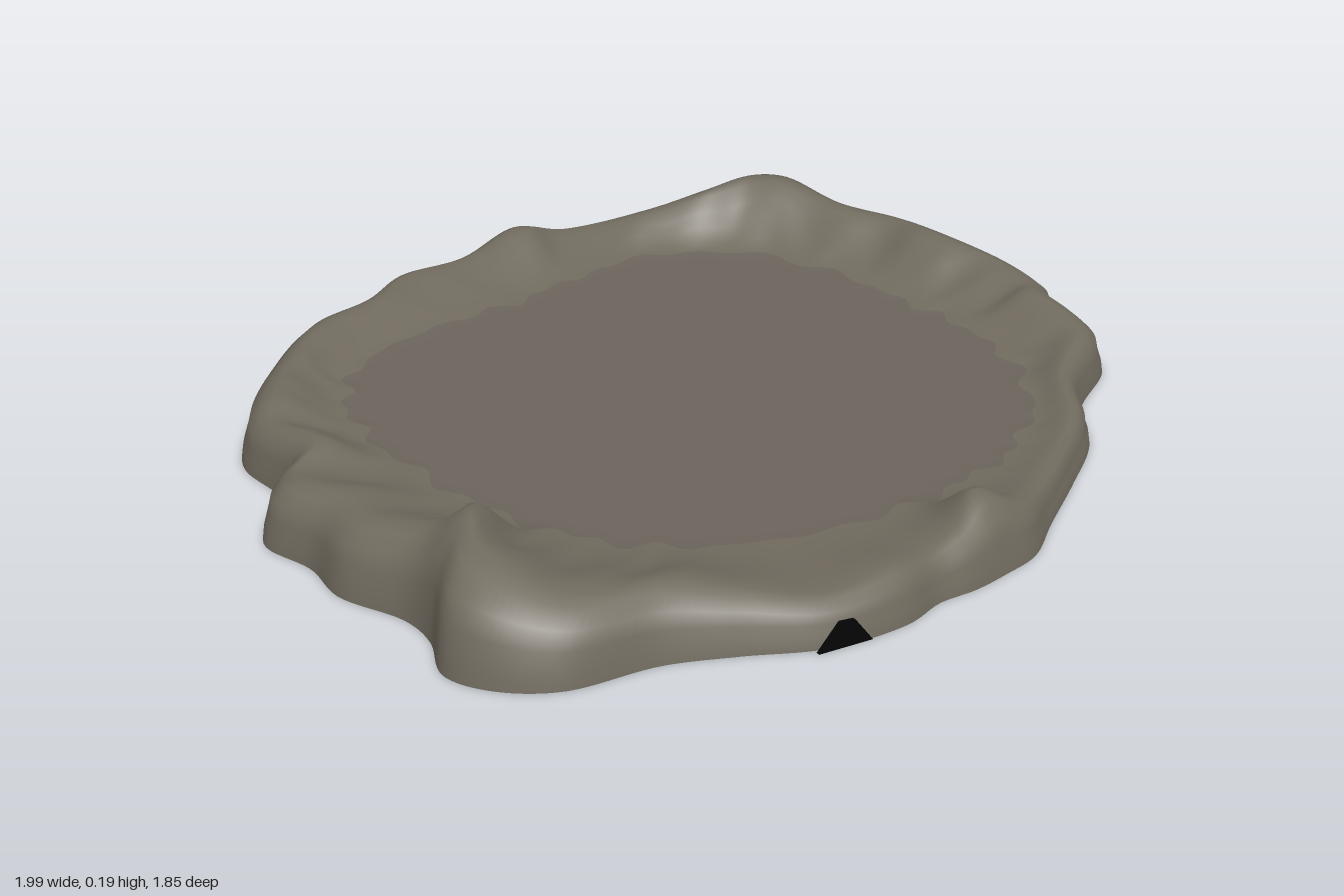
import * as THREE from 'three';

// Outline of the base, clockwise from above: x, z, crest height
const OUTLINE = [
  [0.99, -0.02, 0.12], [0.96, 0.12, 0.11], [0.91, 0.19, 0.12], [0.88, 0.3, 0.11], [0.83, 0.39, 0.1],
  [0.64, 0.5, 0.085], [0.52, 0.63, 0.075], [0.36, 0.73, 0.07], [0.2, 0.82, 0.075], [0.08, 0.89, 0.1],
  [-0.01, 0.905, 0.137], [-0.1, 0.912, 0.1], [-0.18, 0.905, 0.08], [-0.28, 0.925, 0.09], [-0.44, 0.9, 0.08],
  [-0.58, 0.82, 0.1], [-0.7, 0.76, 0.12], [-0.88, 0.72, 0.13], [-0.97, 0.64, 0.16], [-1, 0.55, 0.18],
  [-0.95, 0.44, 0.19], [-0.94, 0.35, 0.15], [-0.98, 0.2, 0.125], [-0.96, 0.08, 0.12], [-0.975, -0.05, 0.115],
  [-0.93, -0.12, 0.105], [-0.85, -0.18, 0.12], [-0.83, -0.36, 0.1], [-0.78, -0.45, 0.11], [-0.64, -0.6, 0.105],
  [-0.46, -0.74, 0.11], [-0.28, -0.8, 0.1], [-0.12, -0.89, 0.095], [0.06, -0.9, 0.09], [0.22, -0.925, 0.13],
  [0.38, -0.91, 0.085], [0.58, -0.83, 0.12], [0.72, -0.78, 0.16], [0.86, -0.76, 0.178], [0.92, -0.7, 0.178],
  [0.93, -0.5, 0.15], [0.985, -0.36, 0.135], [0.975, -0.2, 0.145],
];
// Radius of the flat floor at every eighth of a turn
const FLOOR = [0.69, 0.7, 0.67, 0.7, 0.64, 0.7, 0.62, 0.82];
const FLOOR_Y = 0.055;
const N = 360;

function floorRadius(angle) {
  const t = ((angle / (Math.PI * 2) + 1) % 1) * 8;
  const i = Math.floor(t) % 8, f = t - Math.floor(t);
  const s = f * f * (3 - 2 * f);
  return FLOOR[i] * (1 - s) + FLOOR[(i + 1) % 8] * s;
}

// One cross-section, from the bottom edge over the crest to the centre
function section(p) {
  const angle = Math.atan2(p.z, p.x), R = Math.hypot(p.x, p.z), h = p.y;
  const gully = 0.5 * Math.sin(angle * 23 + 2 * Math.sin(angle * 3)) + 0.5 * Math.sin(angle * 37 + 1.5 * Math.sin(angle * 5));
  const crest = R * (0.955 - (h - 0.07) * 0.75);
  const foot = Math.min(floorRadius(angle) + 0.02 * gully, crest - 0.06);
  const lerp = (t) => crest + (foot - crest) * t;
  const rise = h - FLOOR_Y;
  const rough = 0.14 * gully * rise;
  const lip = R - crest;
  return [
    [R, 0], [R - 0.004, 0.025], [R - 0.01 - lip * 0.05, h * 0.5], [R - lip * 0.3, h * 0.74],
    [R - lip * 0.65, h * 0.93], [crest, h], [lerp(0.15), FLOOR_Y + rise * 0.93 + rough * 0.5],
    [lerp(0.35), FLOOR_Y + rise * 0.66 + rough], [lerp(0.55), FLOOR_Y + rise * 0.37 + rough],
    [lerp(0.78), FLOOR_Y + rise * 0.12 + rough * 0.4], [foot, FLOOR_Y], [foot * 0.93, FLOOR_Y - 0.002],
    [foot * 0.5, FLOOR_Y - 0.002], [0, FLOOR_Y - 0.002],
  ].map(([r, y]) => [r * Math.cos(angle), y, r * Math.sin(angle)]);
}

export function createModel() {
  const group = new THREE.Group();
  const material = (name, color) => {
    const m = new THREE.MeshStandardMaterial({ color });
    m.name = name;
    return m;
  };
  const rock = material('rim stone', 0x716b5f);
  const ground = material('floor stone', 0x6b645c);
  const dark = material('dark underside', 0x050505);

  const curve = new THREE.CatmullRomCurve3(OUTLINE.map(([x, z, h]) => new THREE.Vector3(x, h, z)), true, 'centripetal');
  const edge = curve.getSpacedPoints(N).slice(0, N);

  // Rim and floor as one smooth skin
  const sections = edge.map(section);
  const rings = sections[0].length, floorStart = 10;
  const index = [];
  for (let j = 0; j < rings - 1; j++) {
    for (let i = 0; i < N; i++) {
      const a = i * rings + j, b = ((i + 1) % N) * rings + j;
      index.push(a, a + 1, b);
      if (j < rings - 2) index.push(b, a + 1, b + 1);
    }
  }
  const skin = new THREE.BufferGeometry();
  skin.setAttribute('position', new THREE.Float32BufferAttribute(sections.flat(2), 3));
  skin.setIndex(index);
  skin.computeVertexNormals();
  // The centre vertices see single slivers, so point them straight up
  for (let i = 0; i < N; i++) skin.attributes.normal.setXYZ(i * rings + rings - 1, 0, 1, 0);
  const rimCount = floorStart * N * 6;
  skin.addGroup(0, rimCount, 0);
  skin.addGroup(rimCount, index.length - rimCount, 1);
  const crater = new THREE.Mesh(skin, [rock, ground]);
  crater.name = 'craterRimAndFloor';
  group.add(crater);

  // Flat underside
  const shape = new THREE.Shape(edge.map((p) => new THREE.Vector2(p.x, p.z)));
  const underside = new THREE.Mesh(new THREE.ShapeGeometry(shape).rotateX(Math.PI / 2), dark);
  underside.name = 'underside';
  group.add(underside);

  // Small dark notch low on the front wall
  const notchShape = new THREE.Shape([[-0.055, 0], [0.055, 0], [0.018, 0.048], [-0.012, 0.05]].map(([x, y]) => new THREE.Vector2(x, y)));
  const notch = new THREE.Mesh(new THREE.ExtrudeGeometry(notchShape, { depth: 0.008, bevelEnabled: false }), dark);
  notch.name = 'frontNotch';
  notch.position.set(-0.415, 0, 0.905);
  notch.rotation.y = -0.18;
  group.add(notch);

  return group;
}
